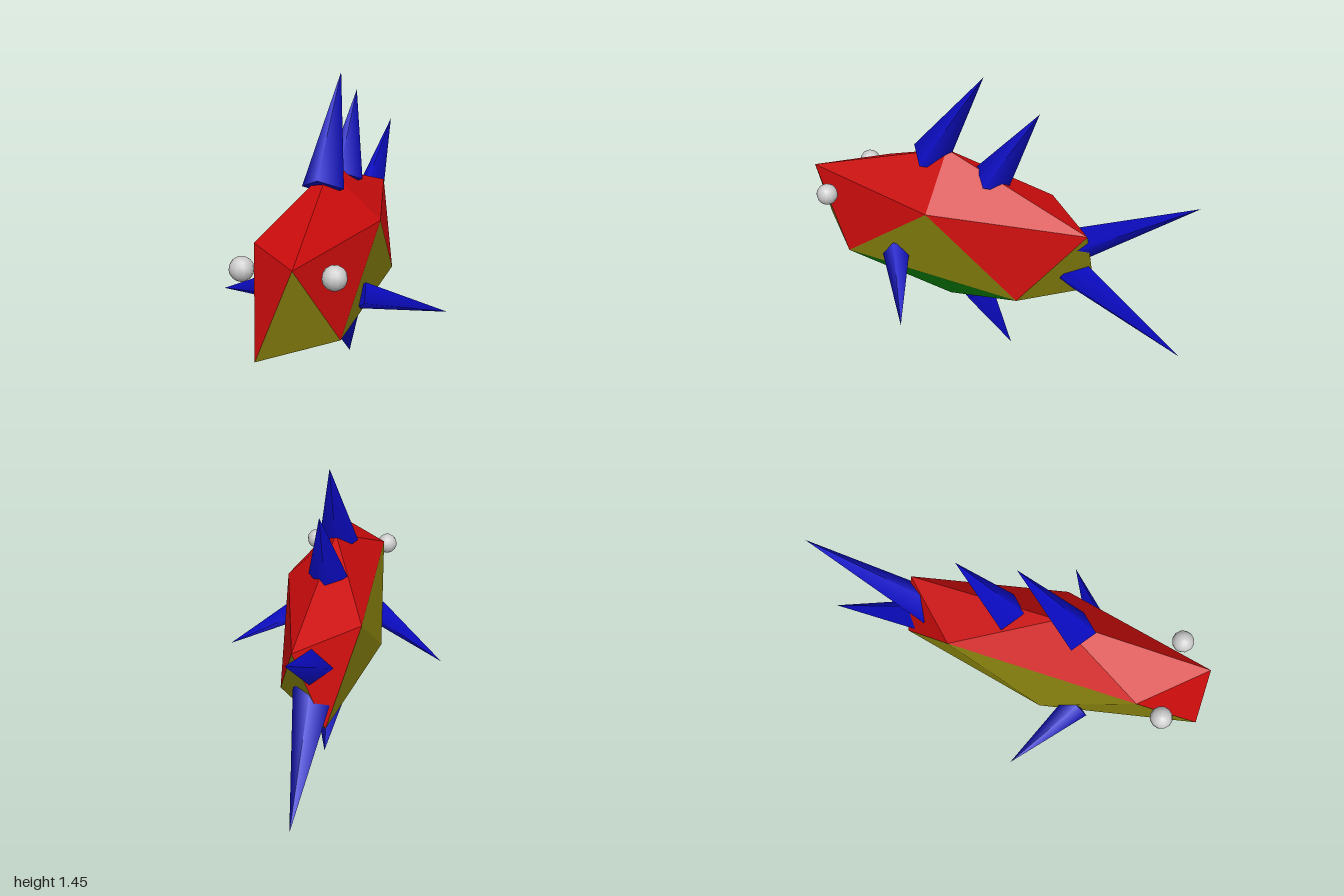
import * as THREE from 'three';

const material = (color, flatShading = false) => new THREE.MeshStandardMaterial({ color, flatShading });

// Two staggered rings of five corners between a top and a bottom point
function ring(y, startDegrees, zCentre, zRadius) {
  return Array.from({ length: 5 }, (_, k) => {
    const a = THREE.MathUtils.degToRad(startDegrees + 72 * k);
    return new THREE.Vector3(0.238 * Math.cos(a), y, zCentre + zRadius * Math.sin(a));
  });
}

function createBody() {
  const body = new THREE.Group();
  body.name = 'body';
  const top = new THREE.Vector3(0, 1.05, 0.22);
  const bottom = new THREE.Vector3(0, 0.2, 0.22);
  const upper = ring(0.82, 0, 0.21, 0.782);
  const lower = ring(0.44, 36, 0.23, 0.803);
  const back = [], flank = [], belly = [];
  for (let k = 0; k < 5; k++) {
    const n = (k + 1) % 5;
    back.push(top, upper[n], upper[k]);
    (k === 2 ? flank : back).push(upper[k], upper[n], lower[k]);
    flank.push(upper[n], lower[n], lower[k]);
    belly.push(bottom, lower[k], lower[n]);
  }
  const panels = [['upperBody', back, 0xcc0c0c], ['flanks', flank, 0x88820e], ['belly', belly, 0x0a950d]];
  for (const [name, points, color] of panels) {
    const geometry = new THREE.BufferGeometry().setFromPoints(points);
    geometry.computeVertexNormals();
    const mesh = new THREE.Mesh(geometry, material(color, true));
    mesh.name = name;
    body.add(mesh);
  }
  return body;
}

// Four-sided spike from a base centre to a tip
function createSpike(name, base, tip, radius, twist = 0) {
  const from = new THREE.Vector3(...base);
  const axis = new THREE.Vector3(...tip).sub(from);
  const length = axis.length();
  const geometry = new THREE.ConeGeometry(radius, length, 4);
  geometry.rotateY(twist).translate(0, length / 2, 0);
  const mesh = new THREE.Mesh(geometry, material(0x0c0ccc));
  mesh.name = name;
  mesh.position.copy(from);
  mesh.quaternion.setFromUnitVectors(new THREE.Vector3(0, 1, 0), axis.normalize());
  return mesh;
}

export function createModel() {
  const model = new THREE.Group();
  model.name = 'fish';
  model.add(createBody());

  // Fins on the centre line
  model.add(
    createSpike('frontDorsalFin', [0, 0.982, 0.317], [0, 1.455, 0.025], 0.097),
    createSpike('rearDorsalFin', [0, 0.947, -0.017], [0, 1.335, -0.25], 0.093),
    createSpike('upperTailFin', [0, 0.69, -0.42], [0, 1.06, -1], 0.09),
    createSpike('lowerTailFin', [0, 0.57, -0.42], [0, 0.24, -1], 0.095),
    createSpike('bellyFin', [0, 0.28, 0.062], [0, 0, -0.13], 0.095)
  );

  // Paired side fins and eyes
  for (const [side, s] of [['left', 1], ['right', -1]]) {
    model.add(createSpike(side + 'SideFin', [s * 0.2, 0.53, 0.41], [s * 0.55, 0.4, 0.18], 0.068, Math.PI / 4));
    const eye = new THREE.Mesh(new THREE.SphereGeometry(0.053, 12, 8), material(0xcccccc));
    eye.name = side + 'Eye';
    eye.position.set(s * 0.197, 0.75, 0.8);
    model.add(eye);
  }
  return model;
}
